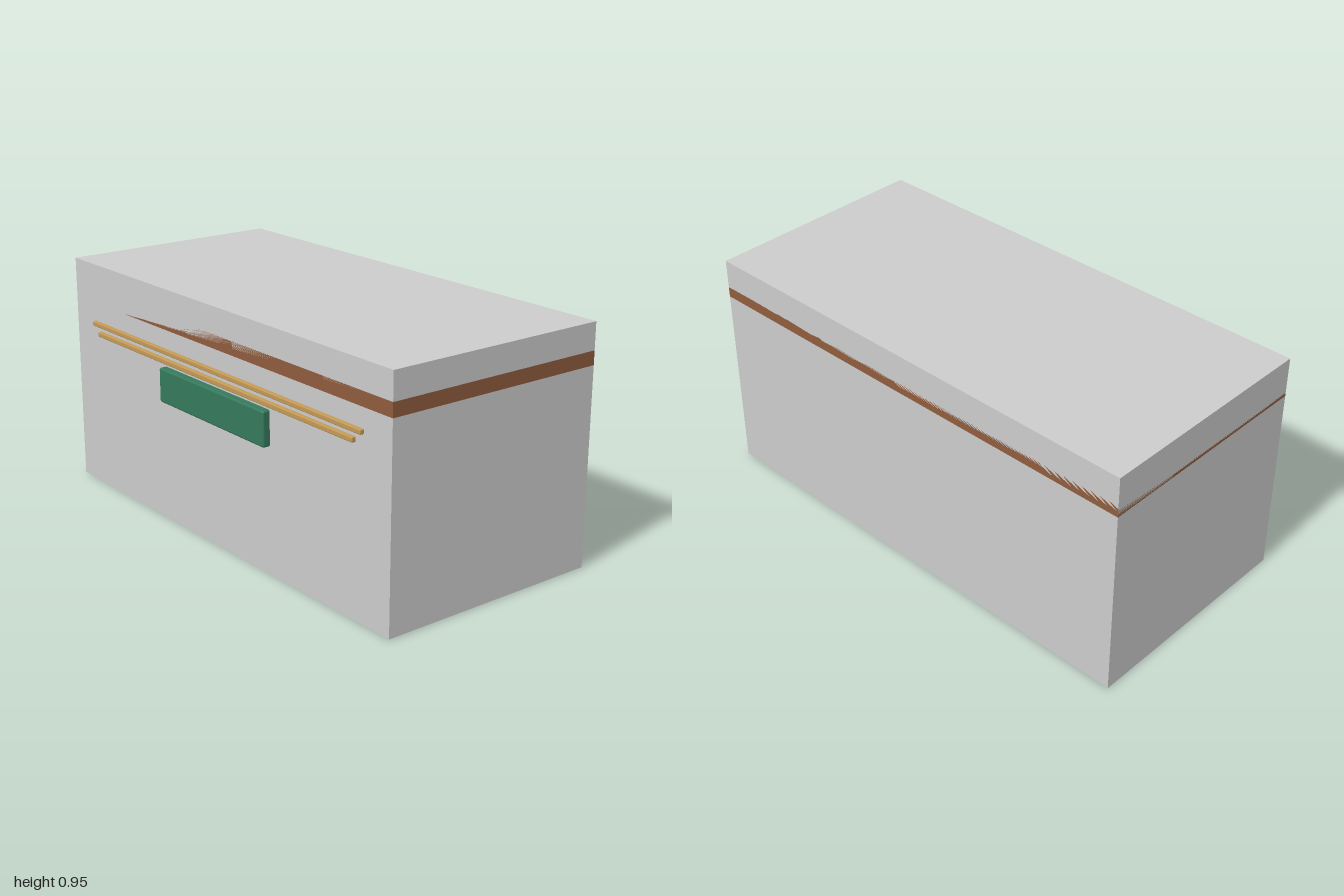
import * as THREE from 'three';
import { RoundedBoxGeometry } from 'three/addons/geometries/RoundedBoxGeometry.js';

const material = (color) => new THREE.MeshStandardMaterial({ color });

export function createModel() {
  const model = new THREE.Group();
  const grey = material(0xcccccc);
  const green = material(0x35795c);
  const brass = material(0xc49a56);
  const wood = material(0x8f5c3d);

  // Box given by its extents; a radius rounds the edges
  function block(name, mat, [x0, x1], [y0, y1], [z0, z1], radius = 0) {
    const size = [x1 - x0, y1 - y0, z1 - z0];
    const geometry = radius
      ? new RoundedBoxGeometry(...size, 2, radius)
      : new THREE.BoxGeometry(...size);
    const mesh = new THREE.Mesh(geometry, mat);
    mesh.name = name;
    mesh.position.set((x0 + x1) / 2, (y0 + y1) / 2, (z0 + z1) / 2);
    model.add(mesh);
  }

  const depth = [-0.487, 0.457];

  // Main body with a wooden band flush in its sides
  block('body', grey, [-1, 1], [0.001, 0.947], depth);
  block('sideBand', wood, [-1, 1], [0.785, 0.84], depth);

  // Green panel under the base
  block('basePanel', green, [-0.912, 0.912], [0, 0.02], [-0.41, 0.342]);

  // Brass trim rails and the front plaque
  block('upperRail', brass, [-0.857, 0.857], [0.691, 0.71], [0.447, 0.473], 0.004);
  block('lowerRail', brass, [-0.815, 0.815], [0.652, 0.672], [0.447, 0.473], 0.004);
  block('frontPlaque', green, [-0.338, 0.338], [0.499, 0.638], [0.437, 0.487], 0.008);

  return model;
}
